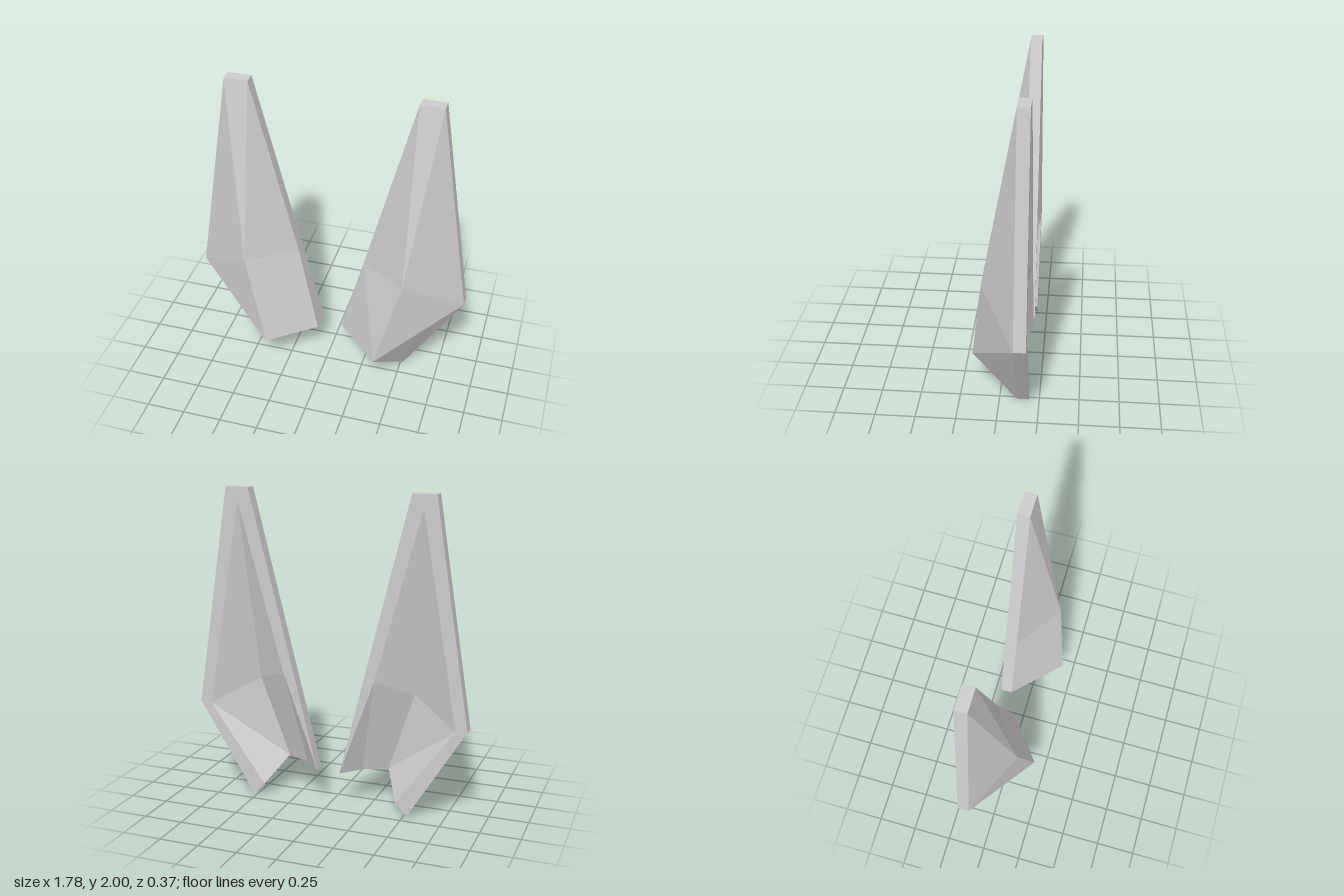
import * as THREE from 'three';

const FRONT = -0.11, BACK = -0.185;

// Fan-triangulates planar facets given as lists of corner names; mirrors in x for side = -1.
function facets(name, corners, faces, side, material) {
  const pos = [];
  for (const face of faces) {
    for (let i = 1; i < face.length - 1; i++) {
      const tri = [face[0], face[i], face[i + 1]];
      if (side < 0) tri.reverse();
      for (const key of tri) {
        const [x, y, z] = corners[key];
        pos.push(x * side, y, z);
      }
    }
  }
  const geo = new THREE.BufferGeometry();
  geo.setAttribute('position', new THREE.Float32BufferAttribute(pos, 3));
  geo.computeVertexNormals();
  const mesh = new THREE.Mesh(geo, material);
  mesh.name = name;
  return mesh;
}

function makeShard(side, material) {
  // Corners: f = front edge of the rim, b = back edge, lower case = cavity
  const c = {
    ridge: [0.52, 0.82, 0.11], peak: [0.37, 0.225, 0.185],
    tip: [0.593, 1.92, BACK], outer: [0.816, 0.595, BACK], bottom: [0.447, 0.08, BACK],
    bend: [0.3, 0.847, BACK], hem: [0.19, 0.225, -0.065],
    innerRidge: [0.52, 0.757, -0.043], innerPeak: [0.343, 0.23, 0],
  };
  const outline = { T1: [0.52, 2], T2: [0.67, 2], O: [0.89, 0.6], B: [0.52, 0], J: [0.22, 0.8], I: [0.075, 0.225] };
  for (const [key, [x, y]] of Object.entries(outline)) {
    c[key + 'f'] = [x, y, FRONT];
    c[key + 'b'] = [x, y, BACK];
  }
  // The inner foot of the right shard is flared forward
  if (side < 0) c.If[2] = -0.045;

  const shell = [
    ['T1f', 'ridge', 'T2f'], ['T2f', 'ridge', 'Of'], ['ridge', 'peak', 'Of'], ['peak', 'Bf', 'Of'],
    ['T1f', 'Jf', 'ridge'], ['Jf', 'If', 'peak', 'ridge'],
  ];
  const edge = [['B', 'O'], ['O', 'T2'], ['T2', 'T1'], ['T1', 'J'], ['J', 'I']]
    .map(([a, b]) => [a + 'f', a + 'b', b + 'b', b + 'f']);
  const rim = [
    ['T1b', 'T2b', 'tip'], ['T2b', 'Ob', 'outer', 'tip'], ['Ob', 'Bb', 'bottom', 'outer'],
    ['T1b', 'tip', 'bend', 'Ib'], ['Ib', 'bend', 'hem'],
  ];
  const lowerEdge = [
    ['hem', 'innerPeak', 'peak', 'If', 'Ib'],
    ['peak', 'innerPeak', 'Bf'], ['innerPeak', 'bottom', 'Bf'], ['bottom', 'Bb', 'Bf'],
  ];
  const cavity = [
    ['tip', 'outer', 'innerRidge'], ['innerRidge', 'outer', 'innerPeak'], ['innerPeak', 'outer', 'bottom'],
    ['tip', 'innerRidge', 'bend'], ['bend', 'innerRidge', 'innerPeak', 'hem'],
  ];

  const shard = new THREE.Group();
  shard.name = side > 0 ? 'leftShard' : 'rightShard';
  const parts = { frontShell: shell, sideEdge: edge, backRim: rim, lowerEdge, innerCavity: cavity };
  for (const [name, faces] of Object.entries(parts)) shard.add(facets(name, c, faces, side, material));
  return shard;
}

export function createModel() {
  const material = new THREE.MeshStandardMaterial({ color: 0xcccccc, flatShading: true, side: THREE.DoubleSide });
  const model = new THREE.Group();
  model.name = 'shardPair';
  for (const side of [1, -1]) model.add(makeShard(side, material));
  return model;
}
